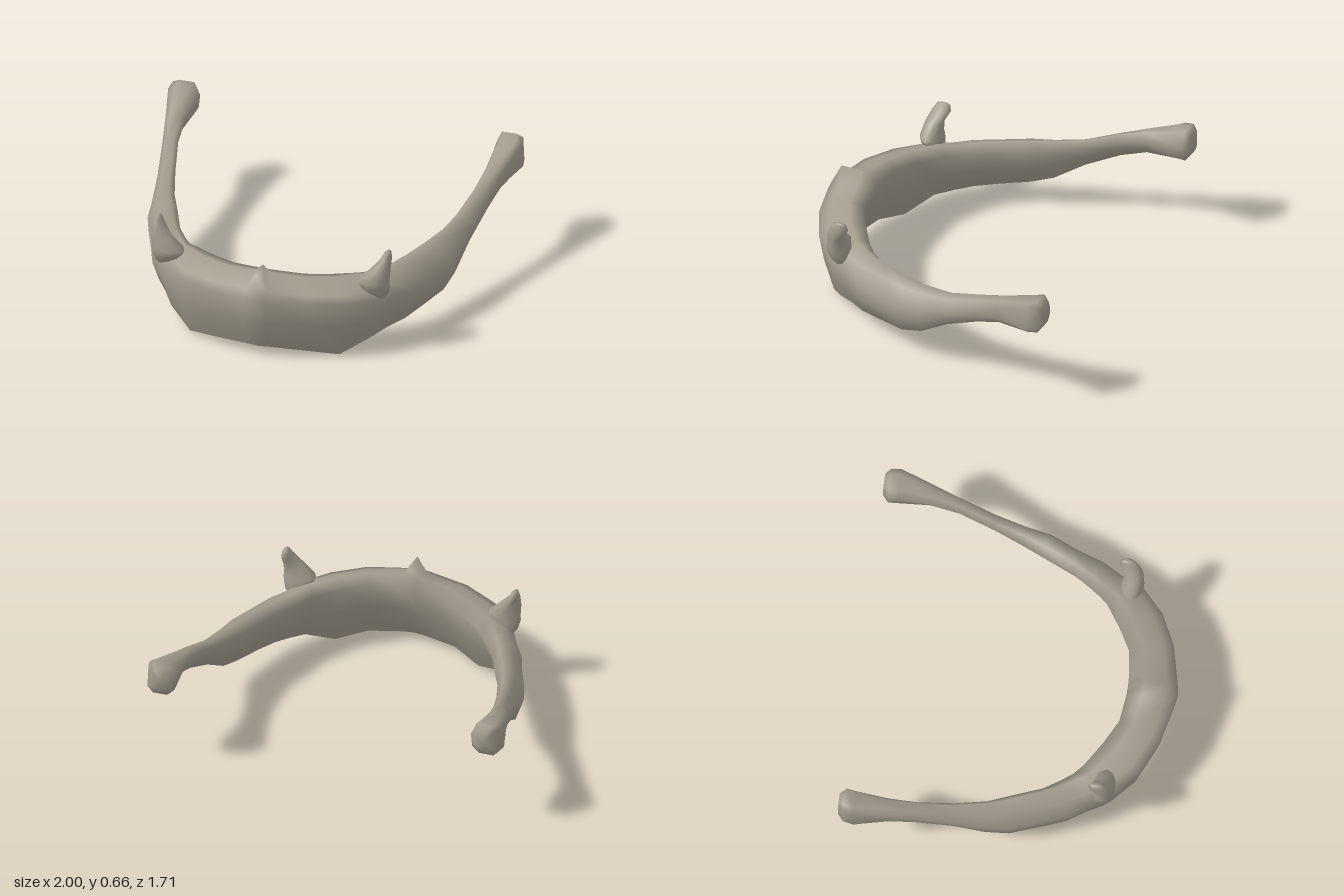
import * as THREE from 'three';

// Cross-section outlines: [share from inner to outer edge, share from bottom to top]
const SECTIONS = [
  [[1, .82], [.89, .45], [.68, .02], [.55, 0], [.25, .5], [0, .94], [.32, 1], [.78, .87]],  // body
  [[1, .55], [.97, .3], [.8, .02], [.55, 0], [.22, .4], [0, .8], [.25, 1], [.7, .9]],       // arm
  [[.96, .92], [1, .18], [.8, 0], [.3, 0], [.05, .2], [0, .6], [.2, 1], [.75, 1]],          // knob
];

// Stations from the middle to one tip: outer x, z, inner x, z, top, bottom, section, ridge height
const STATIONS = [
  [0, .85, 0, .58, .455, .05, 0, .05],
  [.06, .84, .05, .578, .455, .05, 0, .005],
  [.28, .79, .2, .56, .45, .038, 0, 0],
  [.46, .705, .33, .49, .435, 0, 0, 0],
  [.6, .58, .46, .405, .425, .072, .2, 0],
  [.66, .46, .51, .355, .415, .095, .5, 0],
  [.73, .35, .553, .295, .42, .11, .8, 0],
  [.78, .21, .612, .205, .427, .127, 1, 0],
  [.845, .05, .685, .03, .438, .148, 1, 0],
  [.862, -.08, .735, -.08, .446, .188, 1, 0],
  [.885, -.25, .785, -.25, .472, .3, 1, 0],
  [.92, -.44, .83, -.44, .54, .395, 1.2, 0],
  [.95, -.58, .843, -.6, .588, .45, 1.5, 0],
  [.998, -.77, .835, -.77, .643, .465, 2, 0],
  [.988, -.825, .83, -.825, .657, .47, 2, 0],
  [.96, -.855, .86, -.855, .635, .51, 2, 0],
];

// Small horn rings rising out of the bone: centre x, y, z, radius x, radius z
const HORN = [
  [.58, .3, .5, .03, .025],
  [.588, .36, .513, .068, .05],
  [.582, .405, .527, .085, .064],
  [.575, .435, .53, .09, .06],
  [.612, .5, .53, .057, .05],
  [.637, .56, .503, .03, .053],
  [.643, .595, .495, .018, .04],
  [.643, .603, .492, .008, .02],
];

// Skin a row of rings and close both ends
function loft(rings) {
  const n = rings[0].length, last = rings.length - 1;
  const pos = rings.flat(2), index = [];
  for (let i = 0; i < last; i++) {
    for (let j = 0; j < n; j++) {
      const a = i * n + j, b = i * n + (j + 1) % n;
      index.push(a, b, b + n, a, b + n, a + n);
    }
  }
  [0, last].forEach((r) => {
    const centre = pos.length / 3;
    for (let c = 0; c < 3; c++) pos.push(rings[r].reduce((s, p) => s + p[c], 0) / n);
    for (let j = 0; j < n; j++) {
      const a = r * n + j, b = r * n + (j + 1) % n;
      if (r) index.push(centre, a, b);
      else index.push(centre, b, a);
    }
  });
  const geo = new THREE.BufferGeometry();
  geo.setAttribute('position', new THREE.Float32BufferAttribute(pos, 3));
  geo.setIndex(index);
  geo.computeVertexNormals();
  return geo;
}

// One ring of the curved bone, blended between neighbouring section outlines
function boneRing([ox, oz, ix, iz, top, bottom, kind, ridge], side) {
  const k = Math.min(Math.floor(kind), 1), f = kind - k;
  return SECTIONS[k].map((p, j) => {
    const q = SECTIONS[k + 1][j];
    const t = THREE.MathUtils.lerp(p[0], q[0], f);
    const h = THREE.MathUtils.lerp(p[1], q[1], f);
    const lift = j === 6 ? ridge : j === 7 ? ridge * 2 : 0;
    return [
      side * THREE.MathUtils.lerp(ix, ox, t),
      THREE.MathUtils.lerp(bottom, top, h) + lift,
      THREE.MathUtils.lerp(iz, oz, t),
    ];
  });
}

function hornRing([x, y, z, rx, rz], side) {
  return Array.from({ length: 10 }, (_, j) => {
    const a = (j / 10) * Math.PI * 2;
    return [side * (x + rx * Math.cos(side > 0 ? a : Math.PI - a)), y, z - rz * Math.sin(a)];
  });
}

export function createModel() {
  const group = new THREE.Group();
  group.name = 'curvedBone';
  const bone = new THREE.MeshStandardMaterial({ color: 0xa29b8d });
  bone.name = 'bone';

  const add = (name, geo) => {
    const mesh = new THREE.Mesh(geo, bone);
    mesh.name = name;
    group.add(mesh);
  };

  // Body and both long arms in one continuous sweep
  const rightHalf = STATIONS.slice(1).reverse().map((s) => boneRing(s, -1));
  const leftHalf = STATIONS.map((s) => boneRing(s, 1));
  add('bodyAndArms', loft([...rightHalf, ...leftHalf]));

  // Small upright horns
  for (const side of [-1, 1]) {
    add(side > 0 ? 'leftSmallHorn' : 'rightSmallHorn', loft(HORN.map((r) => hornRing(r, side))));
  }
  return group;
}
